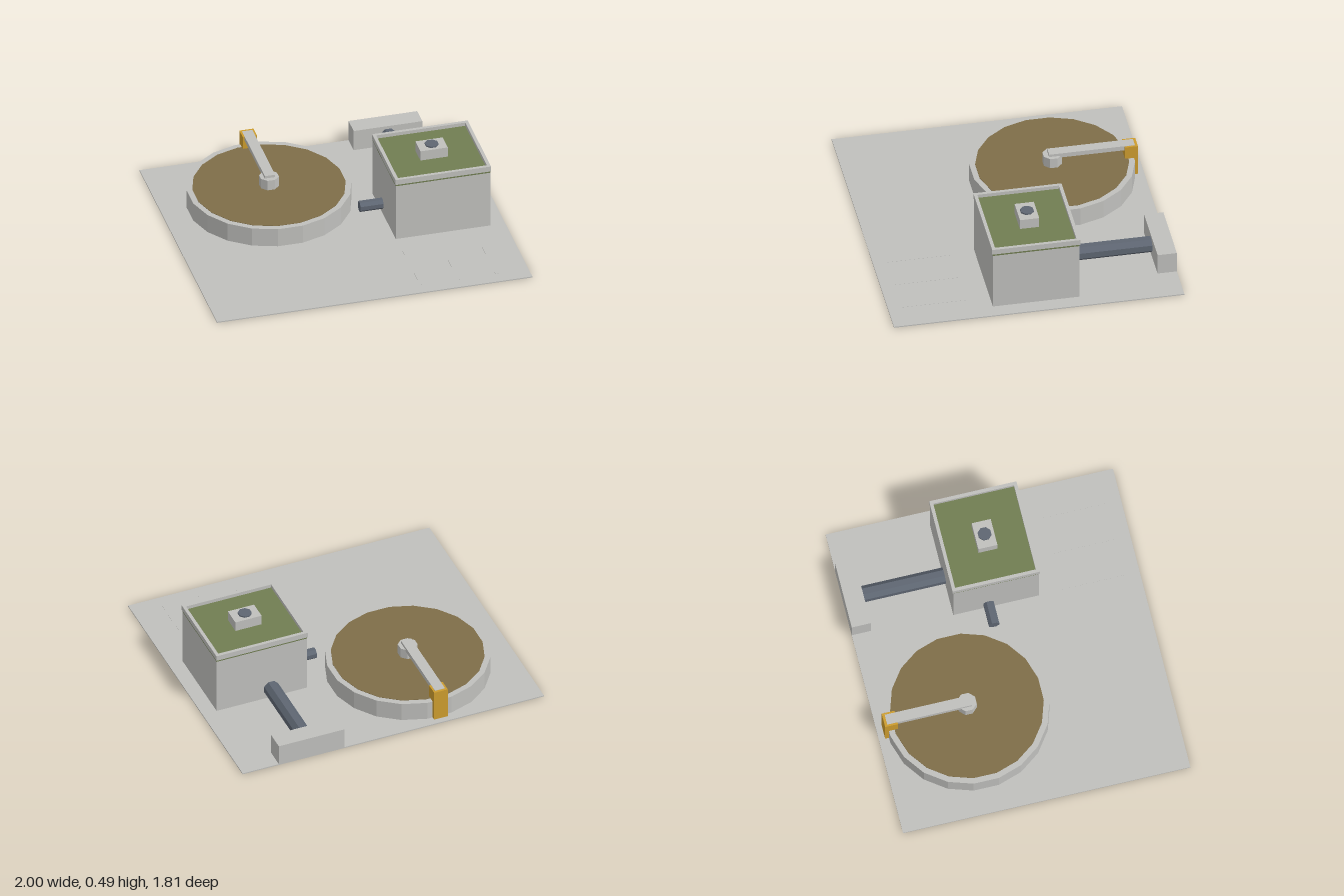
import * as THREE from 'three';

const mat = (name, color) => {
  const m = new THREE.MeshStandardMaterial({ color, flatShading: true });
  m.name = name;
  return m;
};

export function createModel() {
  const root = new THREE.Group();
  root.name = 'treatmentPlant';
  const concrete = mat('concrete', 0xbfbfbc);
  const sludge = mat('brownLiquid', 0x7e6d48);
  const green = mat('roofGreen', 0x707d52);
  const slate = mat('pipeSlate', 0x5e6672);
  const yellow = mat('driveYellow', 0xcc9c2e);

  const add = (name, geo, material, x, y, z) => {
    const m = new THREE.Mesh(geo, material);
    m.name = name;
    m.position.set(x, y, z);
    root.add(m);
    return m;
  };
  // Box given by its minimum and maximum corners
  const box = (name, material, x0, x1, y0, y1, z0, z1) =>
    add(name, new THREE.BoxGeometry(x1 - x0, y1 - y0, z1 - z0), material,
      (x0 + x1) / 2, (y0 + y1) / 2, (z0 + z1) / 2);
  // Upright prism with flat sides facing the axes
  const prism = (name, material, r, sides, x, y0, y1, z) =>
    add(name, new THREE.CylinderGeometry(r, r, y1 - y0, sides).rotateY(Math.PI / sides),
      material, x, (y0 + y1) / 2, z);

  // Ground slab and three bay lines
  box('groundSlab', concrete, -1, 1, 0, 0.007, -0.905, 0.905);
  for (const x of [0.32, 0.56, 0.8]) {
    box('bayLine', concrete, x - 0.01, x + 0.01, 0.004, 0.008, 0.41, 0.82);
  }

  // Round settling tank with liquid, centre post and scraper arm
  const tx = -0.333, tz = -0.34;
  prism('tankWall', concrete, 0.508, 20, tx, 0.005, 0.13, tz);
  prism('tankLiquid', sludge, 0.472, 20, tx, 0.126, 0.132, tz);
  prism('centrePost', concrete, 0.061, 8, tx, 0.13, 0.2, tz);
  box('scraperArm', concrete, tx - 0.033, tx + 0.033, 0.187, 0.217, -0.85, -0.315);
  box('armDrive', yellow, tx - 0.045, tx + 0.045, 0.005, 0.215, -0.866, -0.785);

  // Process building with green roof deck and parapet
  const bx = 0.606;
  box('buildingWalls', concrete, bx - 0.3, bx + 0.3, 0.005, 0.388, -0.27, 0.27);
  box('roofDeck', green, bx - 0.3, bx + 0.3, 0.388, 0.412, -0.27, 0.27);
  const rect = (T, w, d) => {
    const s = new T();
    s.moveTo(-w, -d).lineTo(w, -d).lineTo(w, d).lineTo(-w, d).closePath();
    return s;
  };
  const ring = rect(THREE.Shape, 0.303, 0.275);
  ring.holes.push(rect(THREE.Path, 0.282, 0.254));
  add('parapet', new THREE.ExtrudeGeometry(ring, { depth: 0.035, bevelEnabled: false })
    .rotateX(-Math.PI / 2), concrete, bx, 0.4, 0);

  // Rooftop fan unit
  box('roofUnit', concrete, bx - 0.087, bx + 0.087, 0.41, 0.478, -0.06, 0.06);
  prism('roofFan', slate, 0.043, 8, bx, 0.476, 0.487, 0);

  // Outfall block and the pipes
  box('outfallBlock', concrete, 0.325, 0.76, 0.005, 0.145, -0.905, -0.785);
  const pipe = (name, r, length) =>
    new THREE.CylinderGeometry(r, r, length, 8).rotateY(Math.PI / 8);
  add('outfallPipe', pipe('outfallPipe', 0.051, 0.65).rotateX(Math.PI / 2),
    slate, 0.544, 0.078, -0.575);
  add('feedPipe', pipe('feedPipe', 0.035, 0.16).rotateZ(Math.PI / 2),
    slate, 0.24, 0.074, -0.048);

  return root;
}
